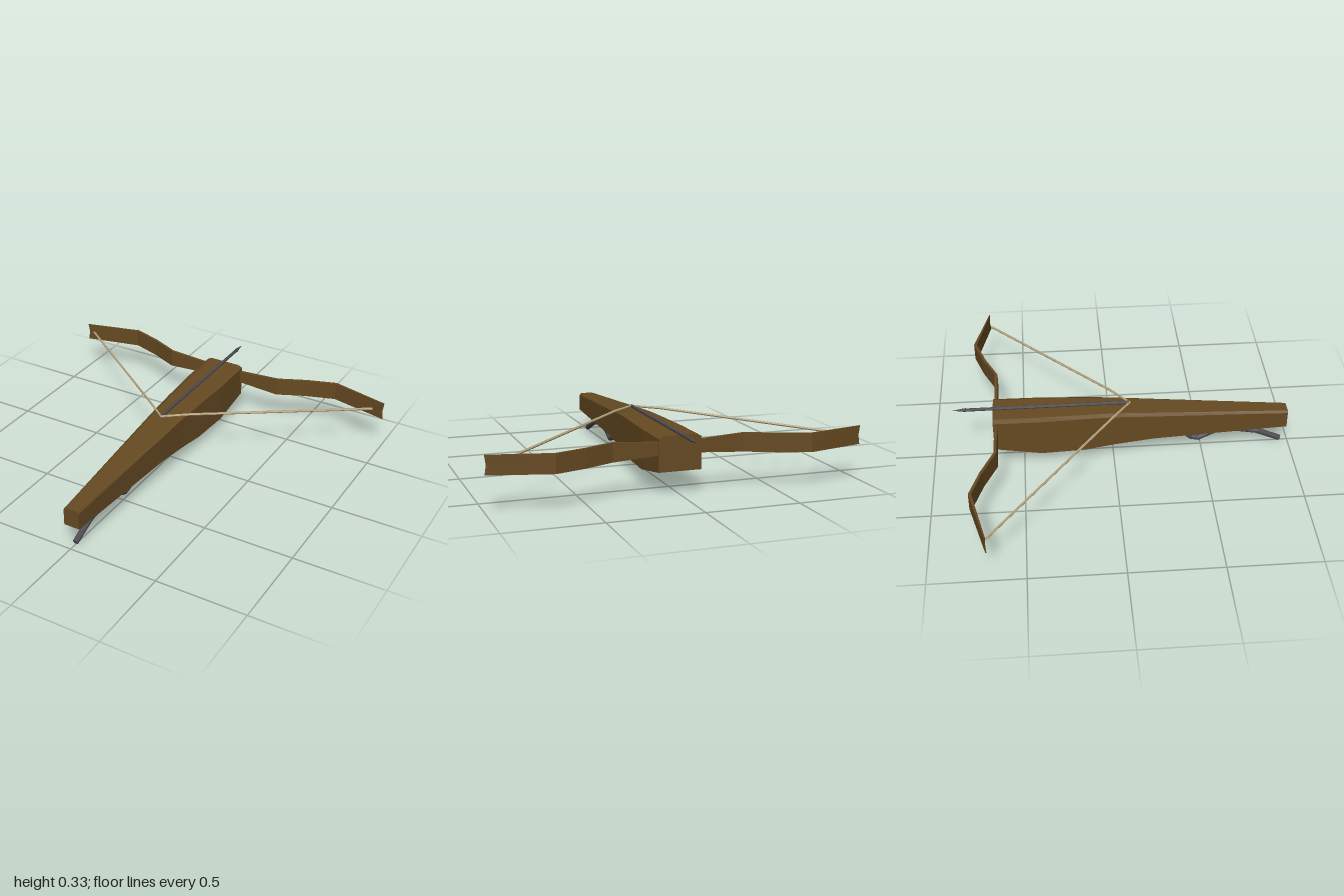
import * as THREE from 'three';

const mat = (color) => new THREE.MeshStandardMaterial({ color, flatShading: true });
const wood = mat(0x664a22);
const metal = mat(0x4a4a50);
const cord = mat(0xb5a17c);

// Skin a list of rings (each counter-clockwise about the direction of travel) and cap both ends.
function loft(rings) {
  const pos = [];
  const tri = (a, b, c) => pos.push(...a, ...b, ...c);
  const n = rings[0].length;
  for (let s = 0; s + 1 < rings.length; s++) {
    for (let i = 0; i < n; i++) {
      const j = (i + 1) % n;
      const [a, b, c, d] = [rings[s][i], rings[s][j], rings[s + 1][j], rings[s + 1][i]];
      tri(a, b, c);
      tri(a, c, d);
    }
  }
  const cap = (ring, flip) => {
    const mid = [0, 1, 2].map((k) => ring.reduce((t, p) => t + p[k], 0) / n);
    ring.forEach((p, i) => {
      const q = ring[(i + 1) % n];
      flip ? tri(mid, q, p) : tri(mid, p, q);
    });
  };
  cap(rings[0], true);
  cap(rings[rings.length - 1], false);
  const g = new THREE.BufferGeometry();
  g.setAttribute('position', new THREE.Float32BufferAttribute(pos, 3));
  g.computeVertexNormals();
  return g;
}

// Round bar with mitred bends through a list of points; "side" is a vector never parallel to it.
function rod(points, radius, sides, side) {
  const p = points.map((a) => new THREE.Vector3(...a));
  return loft(p.map((c, i) => {
    const t = new THREE.Vector3();
    if (i > 0) t.add(c.clone().sub(p[i - 1]).normalize());
    if (i < p.length - 1) t.add(p[i + 1].clone().sub(c).normalize());
    t.normalize();
    const u = side.clone().addScaledVector(t, -side.dot(t)).normalize();
    const v = t.clone().cross(u);
    return Array.from({ length: sides }, (_, k) => {
      const a = ((k + 0.5) / sides) * Math.PI * 2;
      return c.clone().addScaledVector(u, Math.cos(a) * radius)
        .addScaledVector(v, Math.sin(a) * radius).toArray();
    });
  }));
}

export function createModel() {
  const model = new THREE.Group();
  model.name = 'crossbow';
  const add = (name, geometry, material) => {
    const m = new THREE.Mesh(geometry, material);
    m.name = name;
    model.add(m);
    return m;
  };

  // Stock: z, half width, bottom, top; upper corners are chamfered
  const stock = [
    [-0.66, 0.115, 0.125, 0.31],
    [-0.4, 0.114, 0.08, 0.308],
    [-0.16, 0.102, 0.08, 0.305],
    [0, 0.093, 0.1, 0.301],
    [0.22, 0.083, 0.12, 0.286],
    [0.98, 0.045, 0.13, 0.235],
  ];
  add('stock', loft(stock.map(([z, w, b, t]) => [
    [-w, b, z], [w, b, z], [w, t - 0.012, z],
    [w * 0.78, t, z], [-w * 0.78, t, z], [-w, t - 0.012, z],
  ])), wood);

  // Bow: x, z, half height, half thickness, notch depth; mirrored to the other side
  const half = [
    [0.1, -0.645, 0.034, 0.008, 0],
    [0.355, -0.645, 0.05, 0.008, 0],
    [0.51, -0.715, 0.05, 0.008, 0],
    [0.675, -0.77, 0.05, 0.008, 0],
    [1, -0.69, 0.05, 0.003, 0.02],
  ];
  const other = half.map(([x, z, h, t, n]) => [-x, z, h, t, -n]).reverse();
  const y = 0.246;
  add('bow', loft([...other, ...half].map(([x, z, h, t, n]) => {
    const dz = n ? 0.005 : 0; // notch point follows the slope of the limb
    return [
      [x, y - h, z - t], [x - n, y, z - t - dz], [x, y + h, z - t],
      [x, y + h, z + t], [x - n, y, z + t - dz], [x, y - h, z + t],
    ];
  })), wood);

  // Drawn bowstring, lifted over the stock edges
  add('bowstring', rod([
    [-0.96, 0.248, -0.69], [-0.13, 0.316, -0.008], [0, 0.317, 0.095],
    [0.13, 0.316, -0.008], [0.935, 0.25, -0.68],
  ], 0.007, 6, new THREE.Vector3(0, 1, 0)), cord);

  // Bolt: shaft and pointed head
  const shaft = new THREE.CylinderGeometry(0.009, 0.009, 0.9, 8);
  shaft.rotateX(-Math.PI / 2).translate(0, 0.318, -0.36);
  add('boltShaft', shaft, metal);
  const head = new THREE.ConeGeometry(0.011, 0.075, 8);
  head.rotateX(-Math.PI / 2).translate(0, 0.318, -0.843);
  add('boltHead', head, metal);

  // Long trigger lever under the stock
  add('triggerLever', rod([
    [0, 0.14, 0.355], [0, 0.057, 0.445], [0, 0.047, 0.485], [0, 0.093, 0.58],
    [0, 0.103, 0.68], [0, 0.077, 0.82], [0, 0.017, 0.955],
  ], 0.016, 8, new THREE.Vector3(1, 0, 0)), metal);

  return model;
}
